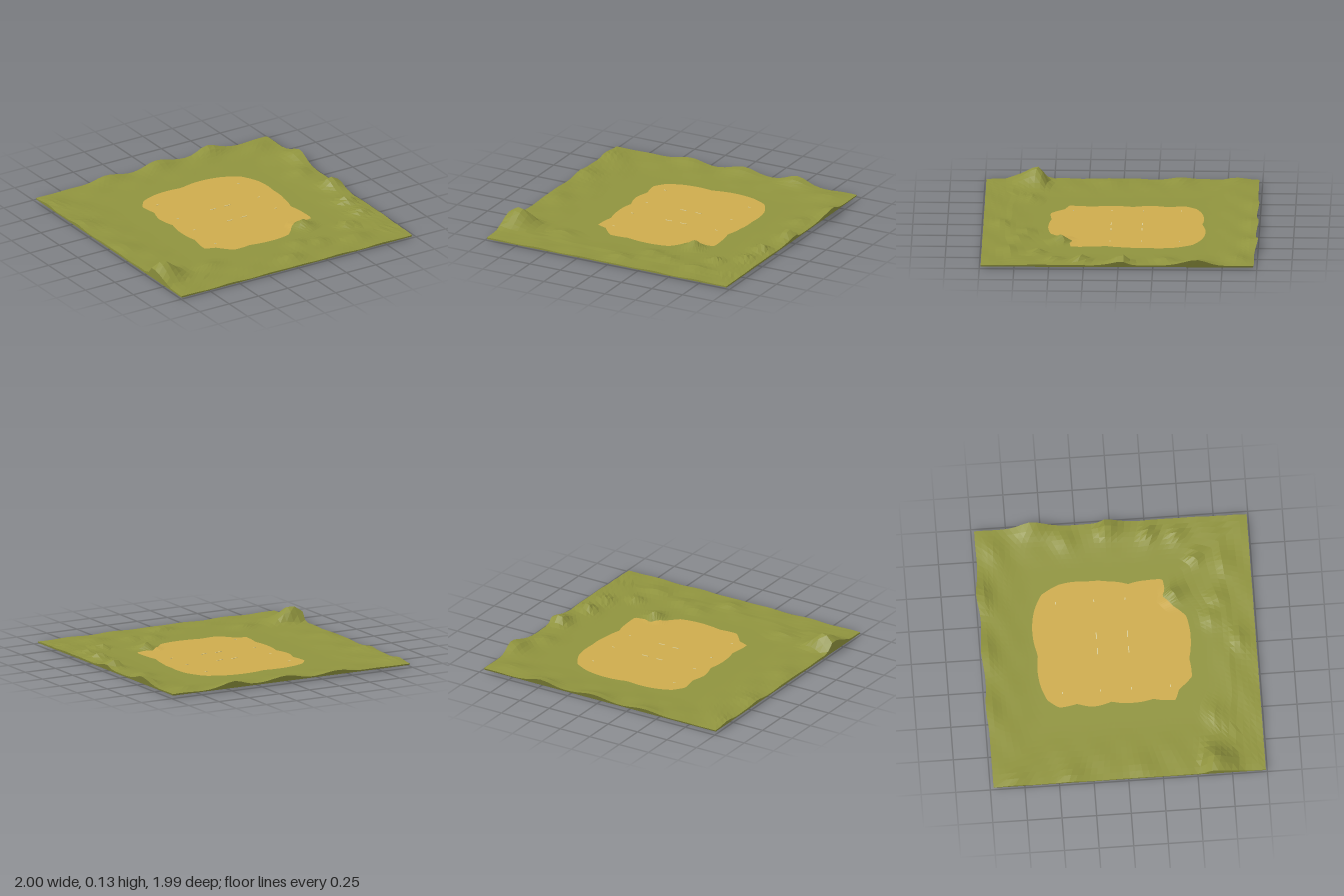
import * as THREE from 'three';

const X0 = -0.99, X1 = 0.97, Z0 = -0.97, Z1 = 0.99;   // footprint
const CX = 0.06, CZ = -0.04;                          // centre of the sandy clearing
const PER_SIDE = 40;

// Mounds: x, z, height, radius across x, radius toward back, radius toward front
const MOUNDS = [
  [-0.92, 0.61, 0.112, 0.11, 0.05, 0.15], [0.92, -0.03, 0.066, 0.06, 0.05, 0.09],
  [0.87, 0.27, 0.05, 0.06, 0.05, 0.05], [0.97, -0.57, 0.055, 0.07, 0.10, 0.12],
  [0.47, -0.97, 0.045, 0.11, 0.07, 0.07], [0.05, -0.97, 0.035, 0.13, 0.07, 0.07],
  [-0.40, -0.97, 0.022, 0.14, 0.07, 0.07], [0.40, 0.42, 0.05, 0.06, 0.04, 0.07],
  [0.67, 0.59, 0.034, 0.06, 0.04, 0.06], [0.03, 0.85, 0.026, 0.08, 0.04, 0.06],
  [-0.55, 0.65, 0.024, 0.09, 0.06, 0.07], [0.20, 0.67, 0.022, 0.07, 0.05, 0.07],
  [0.62, 0.80, 0.018, 0.08, 0.06, 0.06], [0.85, 0.47, 0.03, 0.06, 0.05, 0.06],
  [0.86, -0.33, 0.022, 0.07, 0.07, 0.07], [-0.95, -0.42, 0.02, 0.08, 0.08, 0.08],
  [-0.92, 0.08, 0.015, 0.08, 0.1, 0.1], [-0.95, -0.8, 0.02, 0.09, 0.08, 0.08],
  [0.82, -0.85, 0.018, 0.09, 0.08, 0.08], [0.35, 0.72, 0.02, 0.06, 0.05, 0.06],
];

// Outline of the clearing, in order of angle
const OUTLINE = [
  [0.53, -0.04], [0.50, 0.10], [0.52, 0.24], [0.52, 0.35], [0.44, 0.36], [0.39, 0.34], [0.31, 0.41],
  [0.23, 0.50], [0.02, 0.52], [-0.10, 0.50], [-0.24, 0.51], [-0.33, 0.41], [-0.41, 0.38],
  [-0.39, 0.22], [-0.41, 0.08], [-0.39, -0.08], [-0.42, -0.22], [-0.39, -0.33], [-0.41, -0.46],
  [-0.35, -0.54], [-0.25, -0.58], [0.00, -0.585], [0.34, -0.59], [0.46, -0.53], [0.53, -0.40], [0.54, -0.2],
].map(([x, z]) => {
  const a = Math.atan2(z - CZ, x - CX);
  return { a: a < 0 ? a + 2 * Math.PI : a, r: Math.hypot(x - CX, z - CZ) };
}).sort((p, q) => p.a - q.a);

function outlineRadius(angle) {
  const a = (angle + 4 * Math.PI) % (2 * Math.PI), n = OUTLINE.length;
  let k = OUTLINE.findIndex((p) => p.a > a);
  if (k < 0) k = 0;
  const q = OUTLINE[k], p = OUTLINE[(k + n - 1) % n];
  const span = (q.a - p.a + 2 * Math.PI) % (2 * Math.PI);
  const t = ((a - p.a + 2 * Math.PI) % (2 * Math.PI)) / span;
  return p.r + (q.r - p.r) * t;
}

function height(x, z) {
  const rim = THREE.MathUtils.smoothstep(Math.max(Math.abs(x - 0.03), Math.abs(z)), 0.6, 0.9);
  let y = 0.012 + rim * (z > 0.8 ? 0.003 : 0.01);
  y += rim * 0.004 * (Math.sin(17 * x + 5 * z) * Math.sin(19 * z - 3 * x) + 0.5);
  for (const [mx, mz, h, rx, rBack, rFront] of MOUNDS) {
    const u = (x - mx) / rx, v = (z - mz) / (z < mz ? rBack : rFront);
    y += h * Math.exp(-(u * u + v * v));
  }
  return y;
}

// Underside sags slightly in the middle
function underside(x, z) {
  const d = Math.min(1, Math.max(Math.abs(x), Math.abs(z)));
  return d * d * (0.01 - 0.004 * z);
}

// Square border points, in the same order as the outline
function borderPoints() {
  const c = [[X1, Z0], [X1, Z1], [X0, Z1], [X0, Z0]], pts = [];
  for (let s = 0; s < 4; s++) {
    const [ax, az] = c[s], [bx, bz] = c[(s + 1) % 4];
    for (let i = 0; i < PER_SIDE; i++) {
      const t = i / PER_SIDE;
      pts.push([ax + (bx - ax) * t, az + (bz - az) * t]);
    }
  }
  return pts;
}

// Closed rings joined by faceted quads
function loft(rows, flip) {
  const pos = [], n = rows[0].length;
  const tri = (a, b, c) => [a, flip ? c : b, flip ? b : c].forEach((p) => pos.push(p.x, p.y, p.z));
  for (let r = 0; r < rows.length - 1; r++) {
    for (let i = 0; i < n; i++) {
      const j = (i + 1) % n;
      const a = rows[r][i], b = rows[r][j], c = rows[r + 1][j], d = rows[r + 1][i];
      if (a.distanceTo(b) > 1e-6) tri(a, b, c);
      tri(a, c, d);
    }
  }
  const g = new THREE.BufferGeometry();
  g.setAttribute('position', new THREE.Float32BufferAttribute(pos, 3));
  g.computeVertexNormals();
  return g;
}

export function createModel() {
  const group = new THREE.Group();
  const paint = (name, color) => Object.assign(new THREE.MeshStandardMaterial({ color }), { name });
  const grass = paint('olive grass', 0x8f933e);
  const sand = paint('dry sand', 0xcdab4d);
  const pale = paint('pale fleck', 0xd8cc94);
  const add = (name, geometry, material) => {
    const mesh = new THREE.Mesh(geometry, material);
    mesh.name = name;
    group.add(mesh);
    return mesh;
  };

  const border = borderPoints();
  const edge = border.map(([x, z]) => {
    const a = Math.atan2(z - CZ, x - CX), r = outlineRadius(a);
    return [CX + r * Math.cos(a), CZ + r * Math.sin(a)];
  });
  const centre = border.map(() => [CX, CZ]);
  const rings = (from, to, count, yAt) => Array.from({ length: count + 1 }, (_, k) =>
    from.map(([x, z], i) => {
      const t = k / count, px = x + (to[i][0] - x) * t, pz = z + (to[i][1] - z) * t;
      return new THREE.Vector3(px, yAt(px, pz), pz);
    }));

  // Top: sandy clearing and rough grass around it
  add('sandClearing', loft(rings(centre, edge, 8, height)), sand);
  const land = rings(edge, border, 12, height);
  // Border bulges outward where the ground is high
  for (const p of land[land.length - 1]) {
    const h = Math.max(0, p.y - 0.012);
    if (p.x > X1 - 0.001) p.x += h * 0.45;
    if (p.x < X0 + 0.001) p.x -= h * 0.12;
    if (p.z < Z0 + 0.001) p.z -= h * 0.5;
    if (p.z > Z1 - 0.001) p.z += h * 0.1;
  }
  add('grassLand', loft(land), grass);

  // Skirt and underside
  const base = border.map(([x, z]) => new THREE.Vector3(x, underside(x, z), z));
  add('skirt', loft([land[land.length - 1], base]), grass);
  add('undersideSand', loft(rings(centre, edge, 4, underside), true), sand);
  add('undersideGrass', loft(rings(edge, border, 4, underside), true), grass);

  // Tiny pale flecks lying on the sand
  for (const z of [-0.43, -0.155, 0.07, 0.35]) {
    const middle = Math.abs(z + 0.04) < 0.2;
    const xs = middle ? [-0.3, 0.0, 0.12, 0.39] : z < 0 ? [-0.3, 0.39] : [-0.3];
    for (const x of xs) {
      const wide = x > -0.1 && x < 0.2;
      add('fleck', new THREE.BoxGeometry(wide ? 0.05 : 0.018, 0.002, 0.007), pale)
        .position.set(x, height(x, z) + 0.001, z);
    }
  }
  return group;
}
